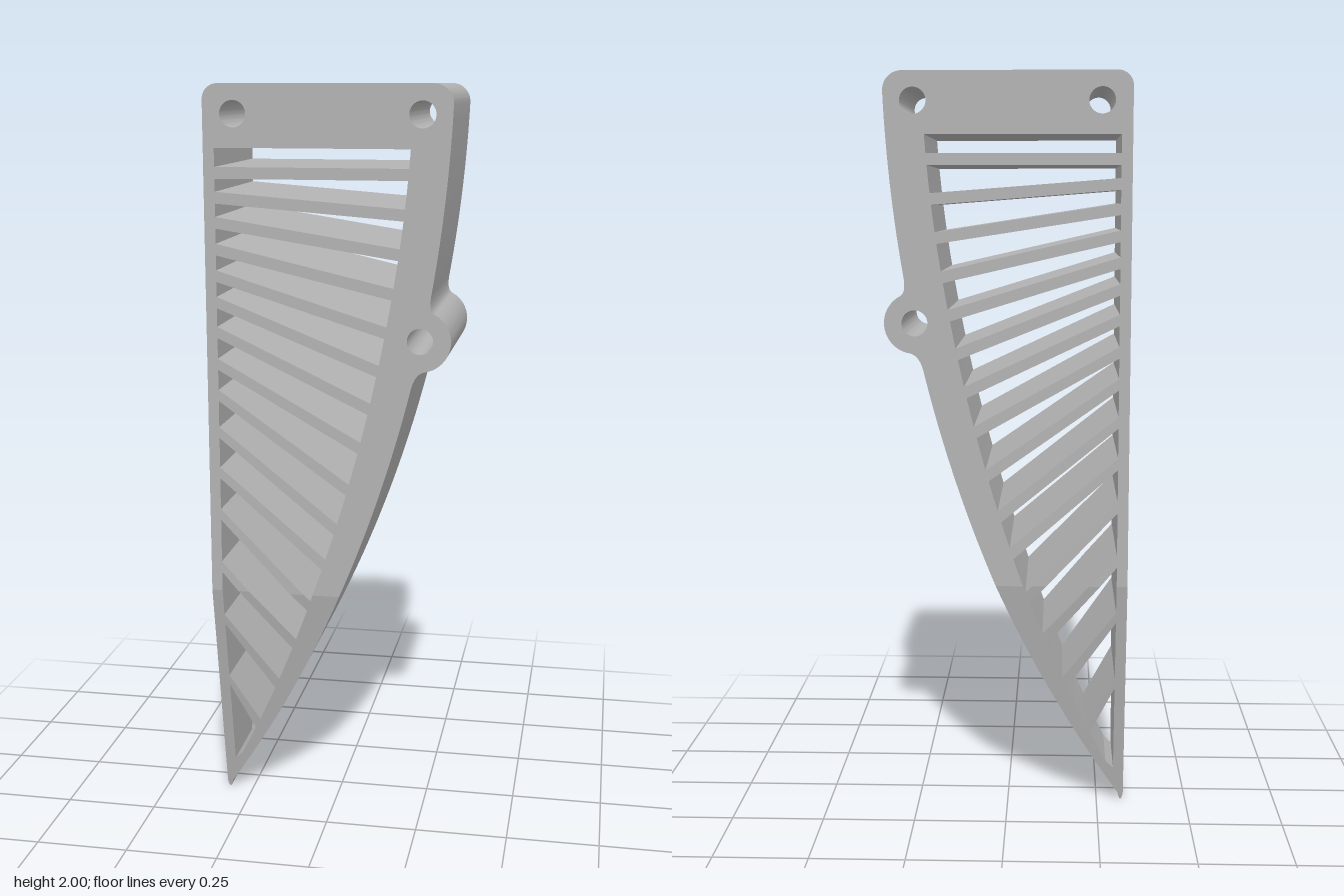
import * as THREE from 'three';
import { toCreasedNormals } from 'three/addons/utils/BufferGeometryUtils.js';

const LEFT = -0.325, INNER_LEFT = -0.296;
const HALF_DEPTH = 0.21, TIP_DEPTH = 0.08, TAPER_Y = 0.65;
const BAR = 0.03; // vertical thickness of a louver

// Curved outer edge (a large arc) and the inner edge of the slots beside it
const outerX = (y) => 0.32 - (3.75 - Math.sqrt(3.75 ** 2 - (2.1 - y) ** 2));
const innerX = (y) => {
  const t = Math.max(0, (1.5 - y) / 1.27);
  return Math.max(INNER_LEFT + 0.001, outerX(y) - 0.1 + 0.06 * t * t);
};

// Points on an edge x = f(y) from y0 to y1
const edge = (f, y0, y1, n) =>
  Array.from({ length: n + 1 }, (_, i) => {
    const y = y0 + ((y1 - y0) * i) / n;
    return new THREE.Vector2(f(y), y);
  });
const arc = (x, y, r, a0, a1, n) =>
  new THREE.EllipseCurve(x, y, r, r, a0, a1, a1 < a0).getPoints(n);
const bend = (a, c, b, n) =>
  new THREE.QuadraticBezierCurve(a, new THREE.Vector2(...c), b).getPoints(n);

function outline() {
  const deg = Math.PI / 180;
  const boss = arc(0.24, 1.355, 0.08, -80 * deg, 62 * deg, 28);
  const lower = edge(outerX, 0.02, 1.22, 40);
  const upper = edge(outerX, 1.48, 1.95, 14);
  return [
    ...lower,
    ...bend(lower.at(-1), [0.226, 1.271], boss[0], 16).slice(1, -1),
    ...boss,
    ...bend(boss.at(-1), [0.26, 1.435], upper[0], 16).slice(1, -1),
    ...upper,
    ...arc(0.267, 1.95, 0.05, 0, Math.PI / 2, 16).slice(1),
    ...arc(LEFT + 0.04, 1.96, 0.04, Math.PI / 2, Math.PI, 16),
    ...bend(new THREE.Vector2(LEFT, 0.02), [-0.318, -0.02], lower[0], 20).slice(0, -1),
  ];
}

// Louver centre heights at the straight wall and at the curved wall
const louvers = [
  [1.777, 1.777], [1.714, 1.676], [1.65, 1.576], [1.581, 1.475], [1.512, 1.375],
  [1.443, 1.274], [1.364, 1.173], [1.279, 1.067], [1.195, 0.951], [1.094, 0.84],
  [0.983, 0.739], [0.866, 0.617], [0.718, 0.495], [0.559, 0.363], [0.363, 0.225],
];

function slots() {
  const h = BAR / 2;
  const bounds = [[1.84 + h, 1.84 + h], ...louvers, [0.07 + h, 0.09 + h]];
  return bounds.slice(1).map(([l1, r1], i) => {
    const [l0, r0] = bounds[i];
    return new THREE.Path([
      new THREE.Vector2(INNER_LEFT, l0 - h),
      new THREE.Vector2(INNER_LEFT, l1 + h),
      ...edge(innerX, r1 + h, r0 - h, 6),
    ]);
  });
}

// Cut every triangle at height y so the solid can fold there
function splitAt(geometry, y) {
  const p = geometry.attributes.position;
  const out = [];
  const emit = (poly) => {
    for (let i = 1; i + 1 < poly.length; i++)
      for (const v of [poly[0], poly[i], poly[i + 1]]) out.push(v.x, v.y, v.z);
  };
  for (let i = 0; i < p.count; i += 3) {
    const tri = [0, 1, 2].map((k) => new THREE.Vector3().fromBufferAttribute(p, i + k));
    const above = [], below = [];
    tri.forEach((a, k) => {
      const b = tri[(k + 1) % 3];
      if (a.y >= y) above.push(a);
      if (a.y <= y) below.push(a);
      if ((a.y - y) * (b.y - y) < 0) {
        // interpolate from the lower end so shared edges match
        const [lo, hi] = a.y < b.y ? [a, b] : [b, a];
        const c = lo.clone().lerp(hi, (y - lo.y) / (hi.y - lo.y));
        c.y = y;
        above.push(c);
        below.push(c);
      }
    });
    emit(above);
    emit(below);
  }
  return new THREE.BufferGeometry().setAttribute('position', new THREE.Float32BufferAttribute(out, 3));
}

export function createModel() {
  const grey = new THREE.MeshStandardMaterial({ color: 0xb3b3b3 });
  grey.name = 'grey';

  // Frame with louver slots and three screw holes
  const shape = new THREE.Shape(outline());
  shape.holes.push(...slots());
  for (const [x, y] of [[-0.246, 1.925], [0.24, 1.925], [0.24, 1.355]])
    shape.holes.push(new THREE.Path(arc(x, y, 0.034, 0, Math.PI * 2, 48).slice(0, -1)));

  const solid = new THREE.ExtrudeGeometry(shape, { depth: 2 * HALF_DEPTH, bevelEnabled: false });
  solid.translate(0, 0, -HALF_DEPTH);

  // Thin the depth toward the bottom tip
  const body = splitAt(solid, TAPER_Y);
  const p = body.attributes.position;
  for (let i = 0; i < p.count; i++) {
    const t = THREE.MathUtils.clamp(p.getY(i) / TAPER_Y, 0, 1);
    p.setZ(i, Math.sign(p.getZ(i)) * THREE.MathUtils.lerp(TIP_DEPTH, HALF_DEPTH, t));
  }

  // The fold passes through z = 0 nowhere, so only the two faces move
  const mesh = new THREE.Mesh(toCreasedNormals(body, 0.16), grey);
  mesh.name = 'louveredFrame';

  const model = new THREE.Group();
  model.name = 'louveredVent';
  model.add(mesh);
  return model;
}
